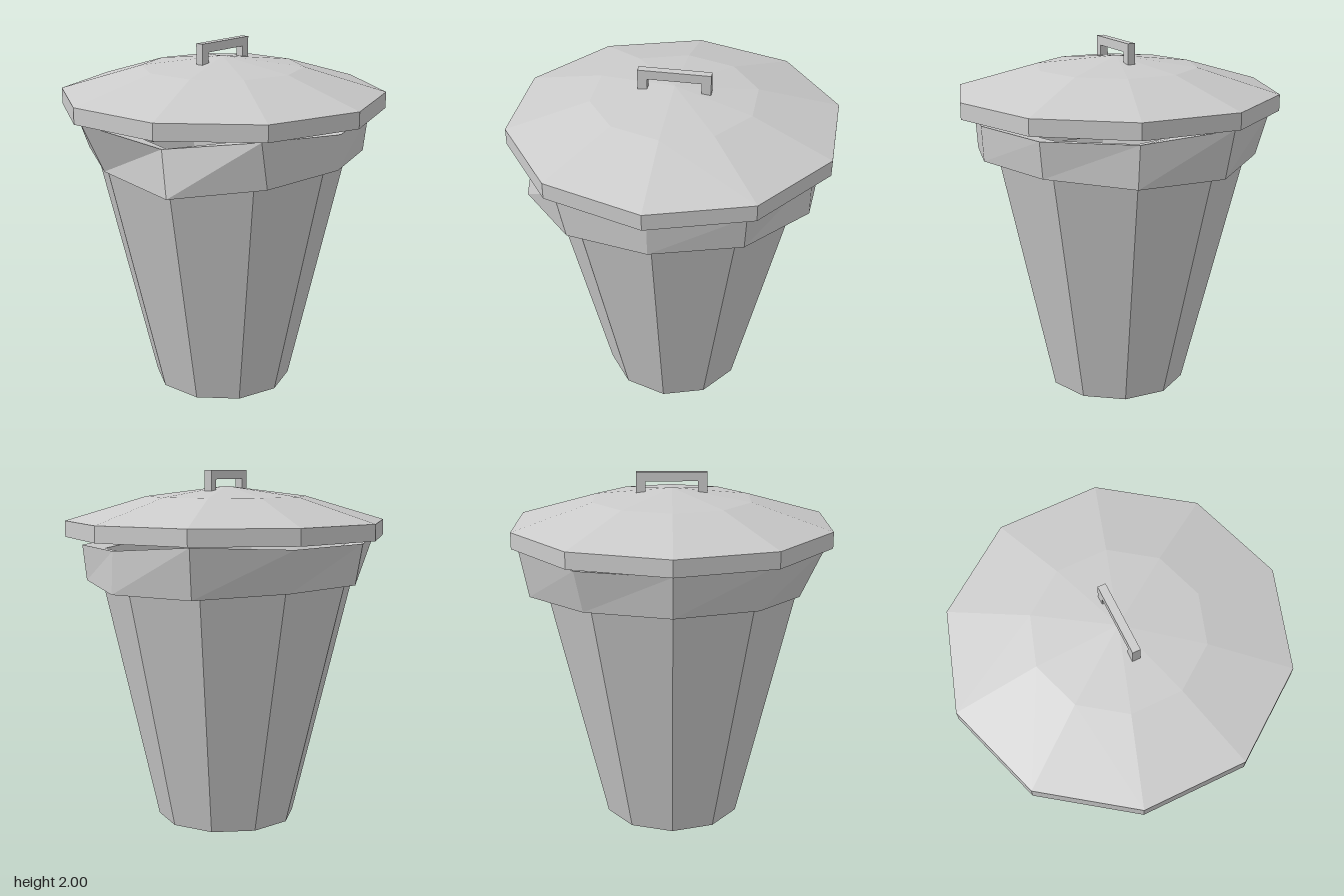
import * as THREE from 'three';

const SIDES = 10;
const flat = (side = THREE.FrontSide) =>
  new THREE.MeshStandardMaterial({ color: 0xcccccc, flatShading: true, side });

function add(parent, name, geometry, side) {
  const mesh = new THREE.Mesh(geometry, flat(side));
  mesh.name = name;
  parent.add(mesh);
  return mesh;
}

// Ten-sided turned shape with a corner on the x axis; profile runs bottom to top
const turned = (profile) =>
  new THREE.LatheGeometry(profile.map(([r, y]) => new THREE.Vector2(r, y)), SIDES, Math.PI / 2);

// Skin closed loops of [x, y, z] points, one loop after the other
function loft(loops) {
  const n = loops[0].length;
  const index = [];
  for (let i = 0; i < loops.length - 1; i++) {
    for (let k = 0; k < n; k++) {
      const a = i * n + k, b = i * n + (k + 1) % n;
      index.push(a, a + n, b, b, a + n, b + n);
    }
  }
  const geometry = new THREE.BufferGeometry();
  geometry.setAttribute('position', new THREE.Float32BufferAttribute(loops.flat(2), 3));
  geometry.setIndex(index);
  geometry.computeVertexNormals();
  return geometry;
}

export function createModel() {
  const model = new THREE.Group();
  model.name = 'trashCan';

  // Tapered bin, open at the top, leaning very slightly
  const bin = turned([[0, 0], [0.396, 0], [0.742, 1.48]]);
  const p = bin.attributes.position;
  for (let i = 0; i < p.count; i++) p.setX(i, p.getX(i) - 0.012 * p.getY(i));
  add(model, 'bin', bin, THREE.DoubleSide);

  // Crumpled bag folded over the rim: uneven top and hem, counted from +x towards +z
  const top = [
    [0.80, 1.585, 0], [0.67, 1.615, 0.5], [0.22, 1.555, 0.74], [-0.28, 1.625, 0.82], [-0.69, 1.62, 0.5],
    [-0.84, 1.615, 0], [-0.69, 1.61, -0.5], [-0.27, 1.625, -0.83], [0.24, 1.585, -0.77], [0.66, 1.585, -0.48],
  ];
  const hem = [
    [0.79, 1.39, 0], [0.67, 1.36, 0.45], [0.28, 1.31, 0.775], [-0.24, 1.35, 0.70], [-0.62, 1.38, 0.45],
    [-0.80, 1.39, 0], [-0.64, 1.38, -0.46], [-0.25, 1.355, -0.78], [0.25, 1.355, -0.77], [0.64, 1.385, -0.47],
  ];
  const ring = (r, height) => top.map((t, k) => {
    const a = (k / SIDES) * Math.PI * 2;
    return [r * Math.cos(a) - 0.015, height(t, k), r * Math.sin(a)];
  });
  const tuck = ring(0.715, (t, k) => hem[k][1] + 0.03);
  const lip = ring(0.70, (t) => t[1] - 0.02);
  const inside = ring(0.66, () => 1.3);
  add(model, 'bagFold', loft([tuck, hem, top, lip, inside]), THREE.DoubleSide);

  // Shallow domed lid
  add(model, 'lid', turned([[0, 1.63], [0.91, 1.63], [0.91, 1.72], [0.455, 1.855], [0, 1.912]]));

  // Square bridge handle running front to back
  const handle = new THREE.Group();
  handle.name = 'handle';
  add(handle, 'handleBar', new THREE.BoxGeometry(0.044, 0.05, 0.395)).position.set(0.003, 1.975, 0);
  for (const s of [1, -1]) {
    add(handle, 'handleLeg', new THREE.BoxGeometry(0.044, 0.08, 0.052)).position.set(0.003, 1.91, s * 0.1715);
  }
  model.add(handle);

  return model;
}
